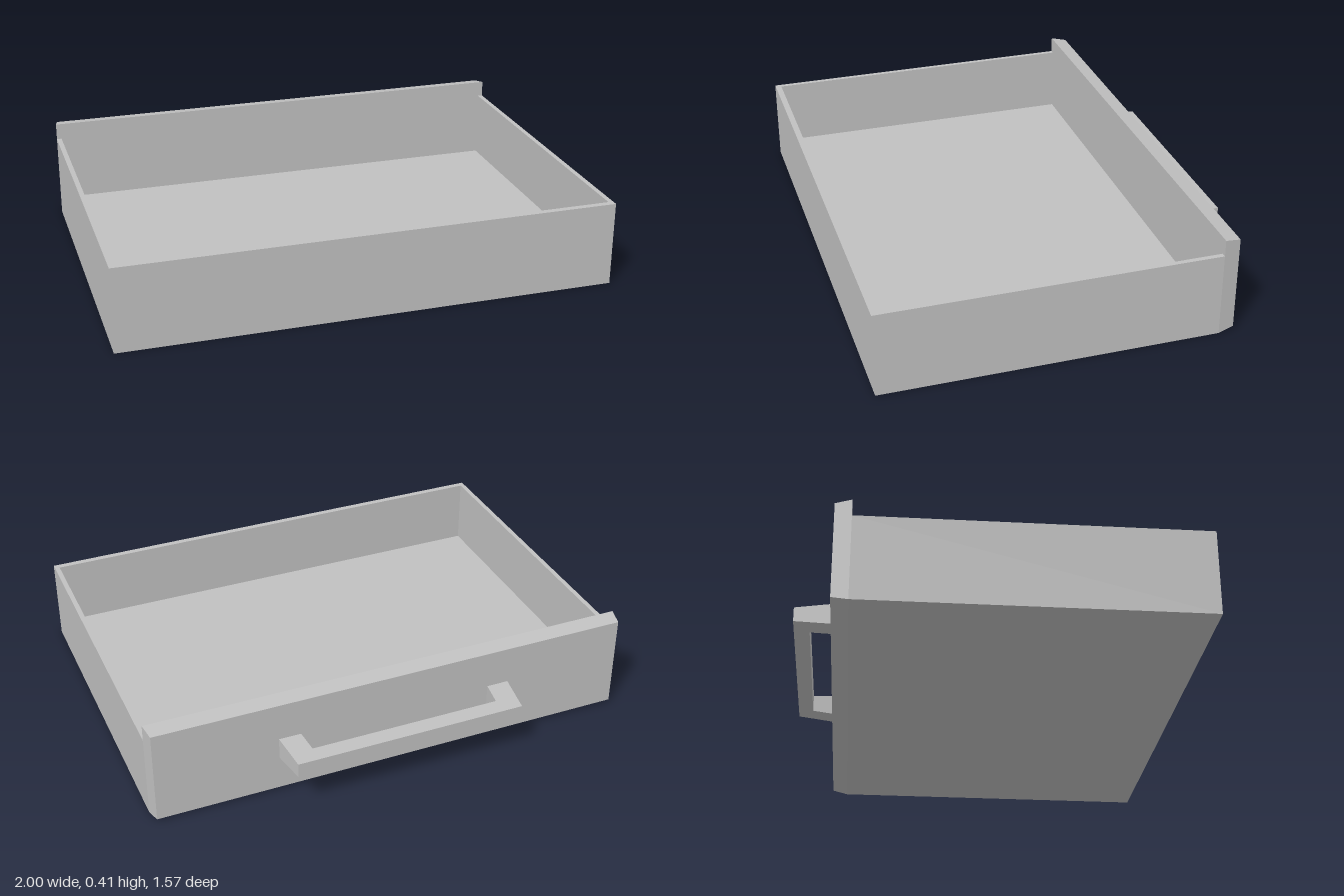
import * as THREE from 'three';

const grey = new THREE.MeshStandardMaterial({ color: 0xc0c0c0 });
grey.name = 'plain grey';

const FRONT = 0.785, PANEL = -0.565, FACE = -0.63, GRIP = -0.785;
const WALL_TOP = 0.345, FLOOR_TOP = 0.068, INNER_X = 0.98, INNER_Z = 0.76;

function part(name, geometry) {
  const mesh = new THREE.Mesh(geometry, grey);
  mesh.name = name;
  return mesh;
}

// Box given by its lower and upper corners
function boxBetween(a, b) {
  const size = b.map((v, i) => v - a[i]);
  const mid = b.map((v, i) => (v + a[i]) / 2);
  return new THREE.BoxGeometry(...size).translate(...mid);
}

// Prism drawn as [x, z] points and extruded upwards from y = bottom
function planPrism(points, bottom, height) {
  const shape = new THREE.Shape(points.map(([x, z]) => new THREE.Vector2(x, -z)));
  return new THREE.ExtrudeGeometry(shape, { depth: height, bevelEnabled: false })
    .rotateX(-Math.PI / 2).translate(0, bottom, 0);
}

// Apply a rule to every vertex, then refresh the flat normals
function reshape(geometry, rule) {
  const p = geometry.attributes.position;
  const v = new THREE.Vector3();
  for (let i = 0; i < p.count; i++) {
    rule(v.fromBufferAttribute(p, i));
    p.setXYZ(i, v.x, v.y, v.z);
  }
  geometry.computeVertexNormals();
  return geometry;
}

export function createModel() {
  const drawer = new THREE.Group();
  drawer.name = 'drawer';

  // Thick floor and thin walls on three sides
  drawer.add(part('floor', boxBetween([-INNER_X, 0, PANEL], [INNER_X, FLOOR_TOP, INNER_Z])));
  drawer.add(part('walls', planPrism([
    [-1, PANEL], [-1, FRONT], [1, FRONT], [1, PANEL],
    [INNER_X, PANEL], [INNER_X, INNER_Z], [-INNER_X, INNER_Z], [-INNER_X, PANEL],
  ], 0, WALL_TOP)));

  // Taller face panel, narrowing slightly towards its outer face
  const panel = boxBetween([-1, 0, FACE], [1, 0.412, PANEL]);
  drawer.add(part('facePanel', reshape(panel, (v) => {
    if (v.z < (FACE + PANEL) / 2) {
      v.x -= Math.sign(v.x) * 0.012;
      v.y += v.y > 0.2 ? -0.012 : 0.012;
    }
  })));

  // Bracket handle, thinner towards the grip
  const handle = planPrism([
    [-0.49, FACE], [-0.4, FACE], [-0.39, -0.722], [0.39, -0.722],
    [0.4, FACE], [0.49, FACE], [0.473, GRIP], [-0.473, GRIP],
  ], -0.5, 1);
  drawer.add(part('handle', reshape(handle, (v) => {
    const t = (v.z - FACE) / (GRIP - FACE);
    v.y = 0.2 + v.y * THREE.MathUtils.lerp(0.088, 0.06, t);
  })));

  return drawer;
}
